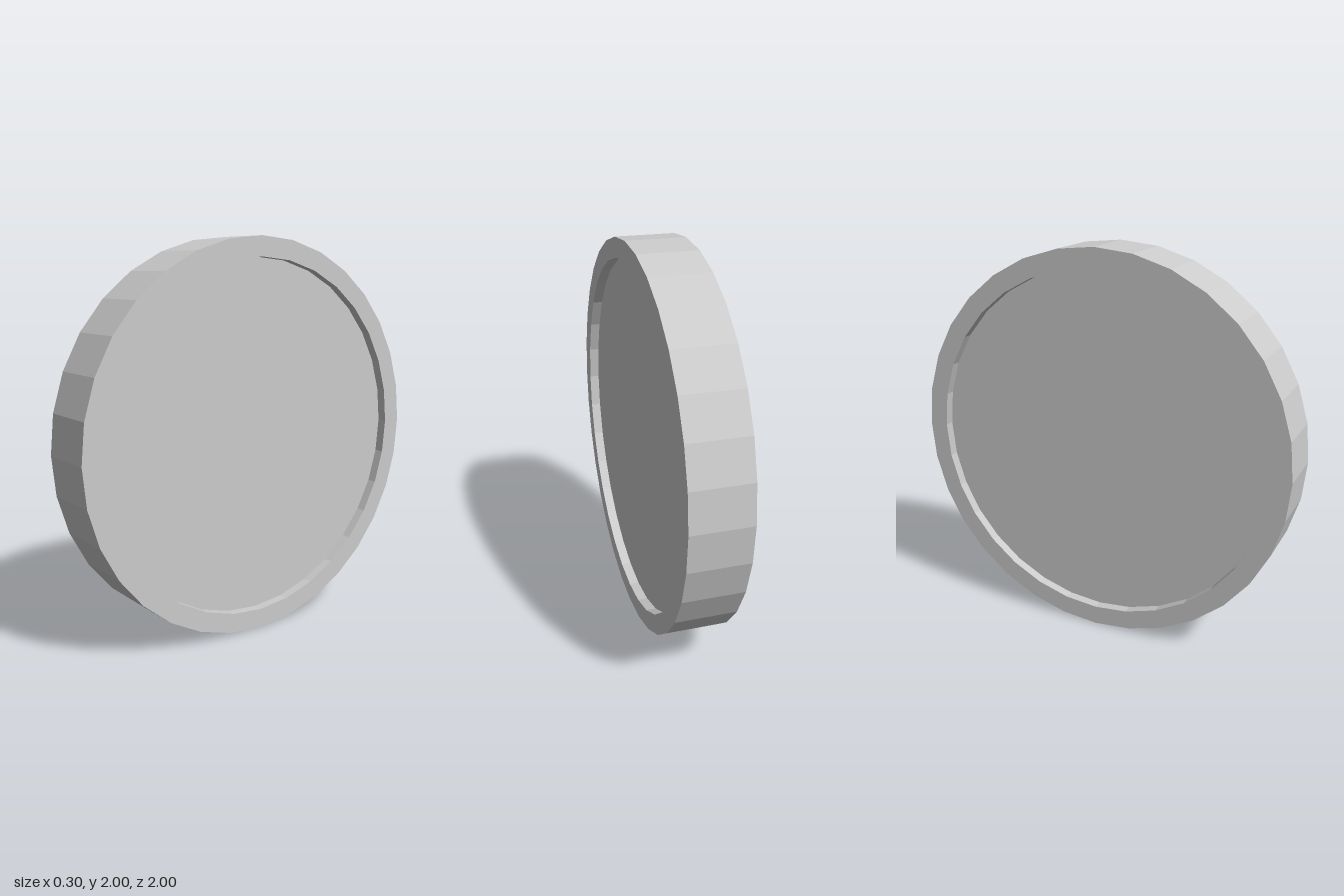
import * as THREE from 'three';

const SIDES = 32;
const RADIUS = 1, INNER = 0.9; // rim radii
const HALF = 0.15, FLOOR = 0.1; // half thickness at the rim and at the recessed faces

export function createModel() {
  const group = new THREE.Group();
  group.name = 'coin';
  const material = new THREE.MeshStandardMaterial({ color: 0xcccccc, flatShading: true });

  // Adds a part turned around the x axis from [radius, offset] points
  const addTurned = (name, points) => {
    const profile = points.map(([r, h]) => new THREE.Vector2(r, h));
    const geometry = new THREE.LatheGeometry(profile, SIDES);
    geometry.rotateZ(-Math.PI / 2);
    const mesh = new THREE.Mesh(geometry, material);
    mesh.name = name;
    mesh.position.y = RADIUS;
    group.add(mesh);
  };

  // Raised rim: inner wall, edge band and inner wall of the other side
  addTurned('rim', [
    [INNER, -FLOOR], [INNER, -HALF], [RADIUS, -HALF],
    [RADIUS, HALF], [INNER, HALF], [INNER, FLOOR],
  ]);

  // Recessed flat faces
  addTurned('rightFace', [[0, -FLOOR], [INNER, -FLOOR]]);
  addTurned('leftFace', [[INNER, FLOOR], [0, FLOOR]]);

  return group;
}
